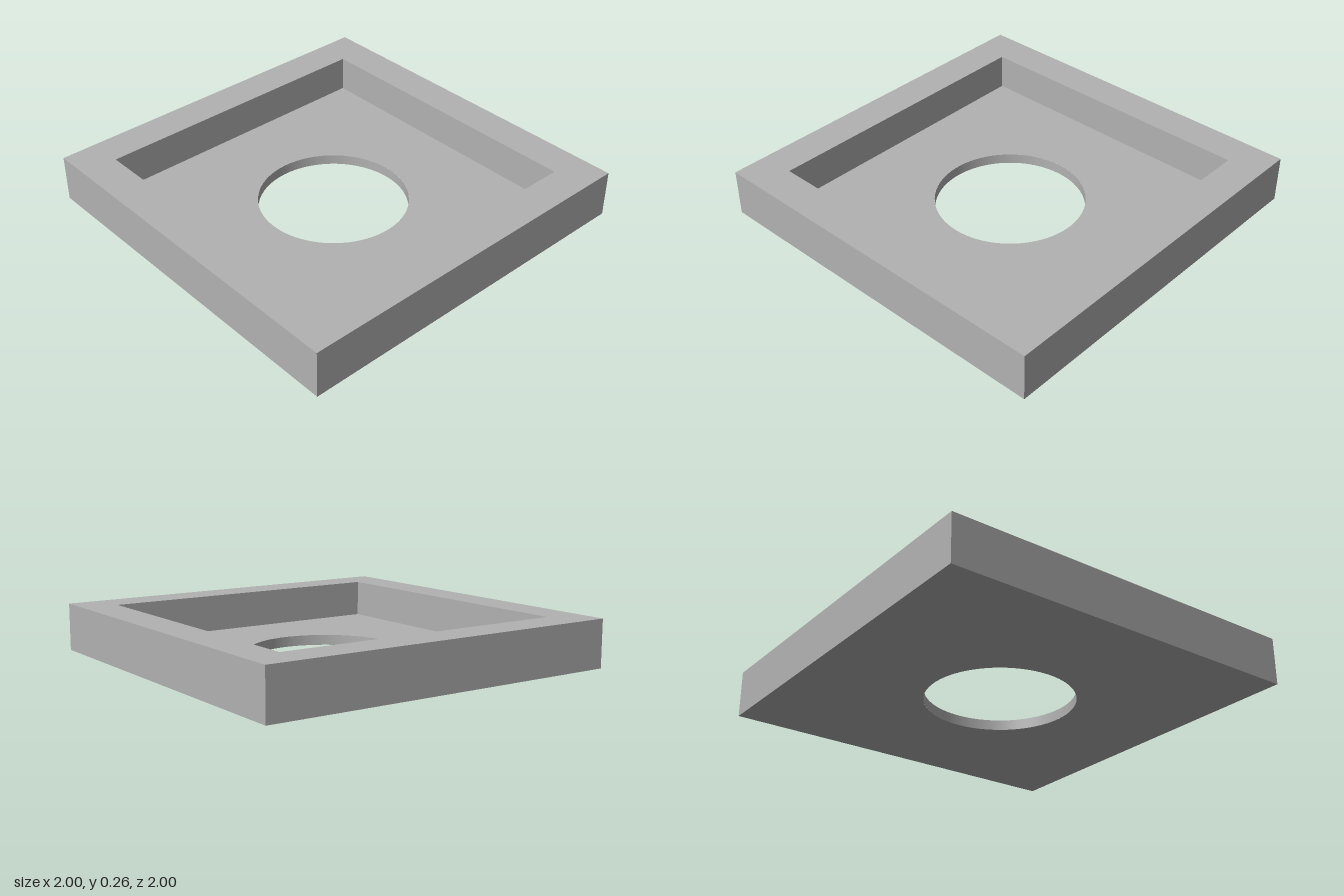
import * as THREE from 'three';

const OUTER = 1, INNER = 0.805, HOLE = 0.398; // half widths and hole radius
const HEIGHT = 0.256, FLOOR = 0.056;
const SEGMENTS = 64;

export function createModel() {
  const group = new THREE.Group();
  group.name = 'squareTray';
  const grey = new THREE.MeshStandardMaterial({ color: 0xb2b2b2 });
  grey.name = 'grey';

  function add(name, geometry) {
    const mesh = new THREE.Mesh(geometry, grey);
    mesh.name = name;
    group.add(mesh);
  }

  const square = (Type, h) => new Type([
    new THREE.Vector2(-h, -h), new THREE.Vector2(h, -h),
    new THREE.Vector2(h, h), new THREE.Vector2(-h, h),
  ]);
  const circle = () => new THREE.Path().absarc(0, 0, HOLE, 0, Math.PI * 2, true);

  // Horizontal square face with an opening, facing up or down
  function face(name, half, opening, y, up) {
    const shape = square(THREE.Shape, half);
    shape.holes.push(opening);
    const geometry = new THREE.ShapeGeometry(shape, SEGMENTS);
    geometry.rotateX(up ? -Math.PI / 2 : Math.PI / 2).translate(0, y, 0);
    add(name, geometry);
  }

  // Vertical wall swept round y; it faces outward when rising, inward when falling
  function wall(radius, from, to, sides, start) {
    const profile = [new THREE.Vector2(radius, from), new THREE.Vector2(radius, to)];
    return new THREE.LatheGeometry(profile, sides, start);
  }

  // Four flat walls standing on a square
  function squareWall(name, half, from, to) {
    const geometry = wall(half * Math.SQRT2, from, to, 4, Math.PI / 4).toNonIndexed();
    geometry.computeVertexNormals();
    add(name, geometry);
  }

  face('rimTop', OUTER, square(THREE.Path, INNER), HEIGHT, true);
  face('recessFloor', INNER, circle(), FLOOR, true);
  face('underside', OUTER, circle(), 0, false);
  squareWall('outerWalls', OUTER, 0, HEIGHT);
  squareWall('recessWalls', INNER, HEIGHT, FLOOR);
  add('holeWall', wall(HOLE, FLOOR, 0, SEGMENTS, 0));

  return group;
}
